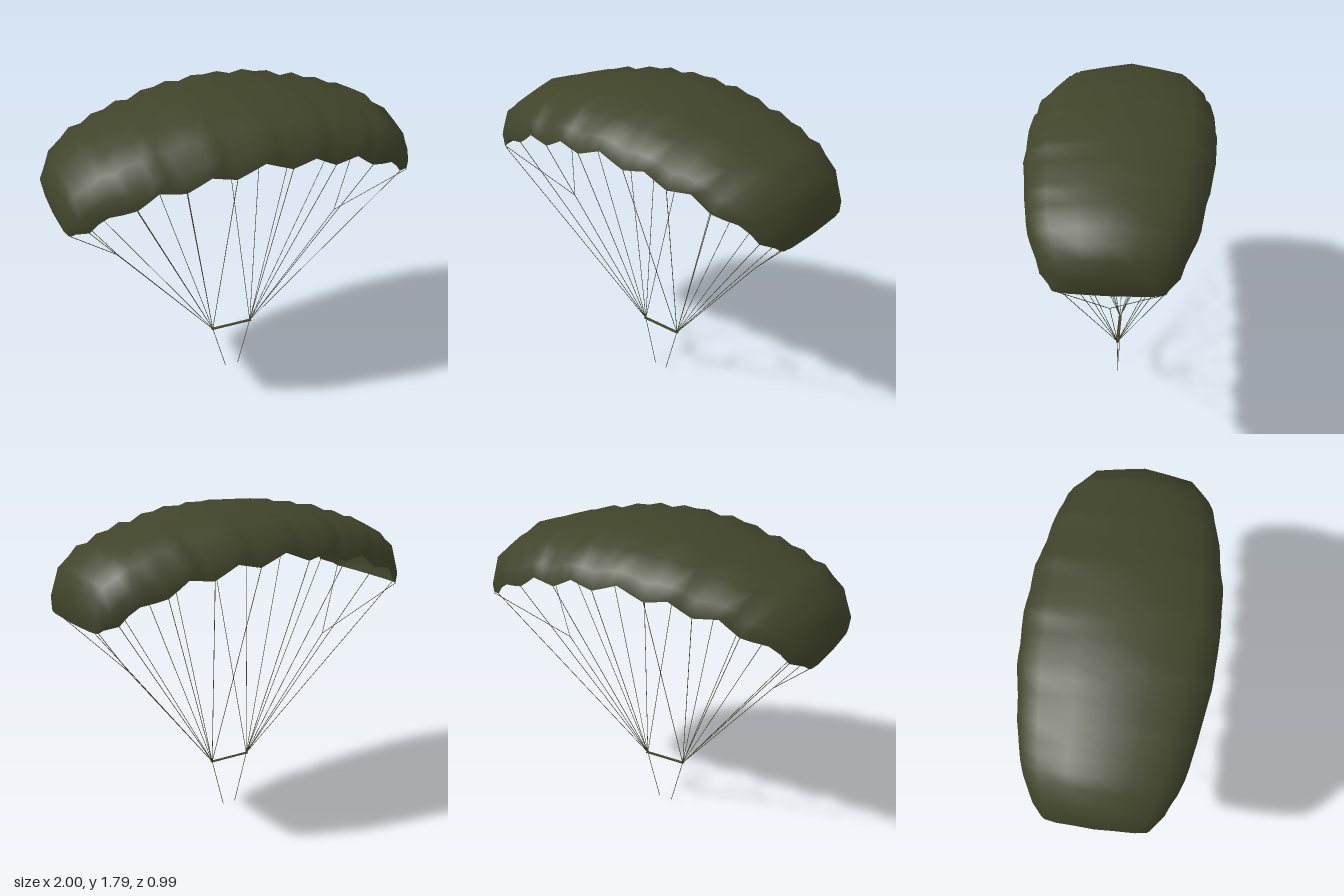
import * as THREE from 'three';

const fabric = new THREE.MeshStandardMaterial({ color: 0x40442a, side: THREE.DoubleSide });
fabric.name = 'olive fabric';

// Half-span stations: crest x, crest y, hem x, hem y, half chord
const STATIONS = [
  [0, 1.768, 0, 1.59, 0.495], [0.075, 1.785, 0.075, 1.56, 0.495],
  [0.15, 1.765, 0.15, 1.53, 0.492], [0.225, 1.778, 0.215, 1.545, 0.49],
  [0.3, 1.745, 0.28, 1.56, 0.485], [0.38, 1.75, 0.34, 1.525, 0.475],
  [0.46, 1.71, 0.405, 1.49, 0.465], [0.53, 1.72, 0.47, 1.497, 0.455],
  [0.6, 1.672, 0.54, 1.505, 0.445], [0.68, 1.67, 0.59, 1.465, 0.435],
  [0.74, 1.628, 0.645, 1.425, 0.425], [0.81, 1.625, 0.71, 1.41, 0.41],
  [0.86, 1.57, 0.78, 1.395, 0.385], [0.94, 1.52, 0.83, 1.35, 0.355],
  [0.965, 1.45, 0.87, 1.3, 0.335], [1.0, 1.375, 0.93, 1.278, 0.285],
  [0.975, 1.258, 0.95, 1.262, 0.27],
];
// Chord profiles: fraction of half chord, fraction of drop from crest to hem
const OUTER = [[0, 0], [0.36, 0.1], [0.73, 0.22], [0.95, 0.61], [1, 1]];
const LINING = [[0, 0.12], [0.45, 0.22], [0.8, 0.48], [1, 1]];

// Open sheet lofted across the mirrored stations
function sheetGeometry(profile) {
  const mirrored = STATIONS.slice(1).reverse().map(([a, b, c, d, e]) => [-a, b, -c, d, e]);
  const span = [...mirrored, ...STATIONS];
  const chord = [...profile.slice(1).reverse().map(([z, d]) => [-z, d]), ...profile];
  const positions = [], index = [];
  for (const [tx, ty, hx, hy, half] of span) {
    for (const [z, d] of chord) {
      positions.push(tx + (hx - tx) * d, ty + (hy - ty) * d, z * half);
    }
  }
  const n = chord.length;
  for (let i = 0; i < span.length - 1; i++) {
    for (let j = 0; j < n - 1; j++) {
      const a = i * n + j, b = a + n;
      index.push(a, a + 1, b, b, a + 1, b + 1);
    }
  }
  const geometry = new THREE.BufferGeometry();
  geometry.setAttribute('position', new THREE.Float32BufferAttribute(positions, 3));
  geometry.setIndex(index);
  geometry.computeVertexNormals();
  return geometry;
}

// Straight cord between two points
function line(name, from, to, radius = 0.0018) {
  const a = new THREE.Vector3(...from), b = new THREE.Vector3(...to);
  const dir = b.clone().sub(a);
  const mesh = new THREE.Mesh(new THREE.CylinderGeometry(radius, radius, dir.length(), 5), fabric);
  mesh.position.copy(a).add(b).multiplyScalar(0.5);
  mesh.quaternion.setFromUnitVectors(new THREE.Vector3(0, 1, 0), dir.normalize());
  mesh.name = name;
  return mesh;
}

export function createModel() {
  const model = new THREE.Group();
  model.name = 'parachute';

  // Outer canopy and its shallower lining, meeting at the hem
  for (const [name, profile] of [['canopy', OUTER], ['canopyLining', LINING]]) {
    const sheet = new THREE.Mesh(sheetGeometry(profile), fabric);
    sheet.name = name;
    model.add(sheet);
  }

  const lines = new THREE.Group();
  lines.name = 'suspensionLines';
  model.add(lines);
  for (const side of [-1, 1]) {
    const riser = [0.01 + side * 0.118, 0.29, 0.02];
    const fork = [side * 0.65, 0.935, 0.02];
    for (const end of [-1, 1]) {
      // Lines from the low points of the hem
      for (const i of [2, 6, 10, 14]) {
        const [, , x, y, half] = STATIONS[i];
        lines.add(line('suspensionLine', riser, [side * x, y, end * half]));
      }
      // Forked line from the wing tip corners
      const [, , x, y, half] = STATIONS[16];
      lines.add(line('tipLine', fork, [side * x, y, end * half]));
    }
    lines.add(line('brakeLine', riser, fork));
    lines.add(line('harnessStrap', riser, [0.01 + side * 0.04, 0, 0.025]));
  }

  // Flat spreader bar joining the two risers
  const bar = new THREE.Mesh(new THREE.BoxGeometry(0.25, 0.004, 0.018), fabric);
  bar.position.set(0.01, 0.29, 0.02);
  bar.name = 'spreaderBar';
  model.add(bar);
  return model;
}
